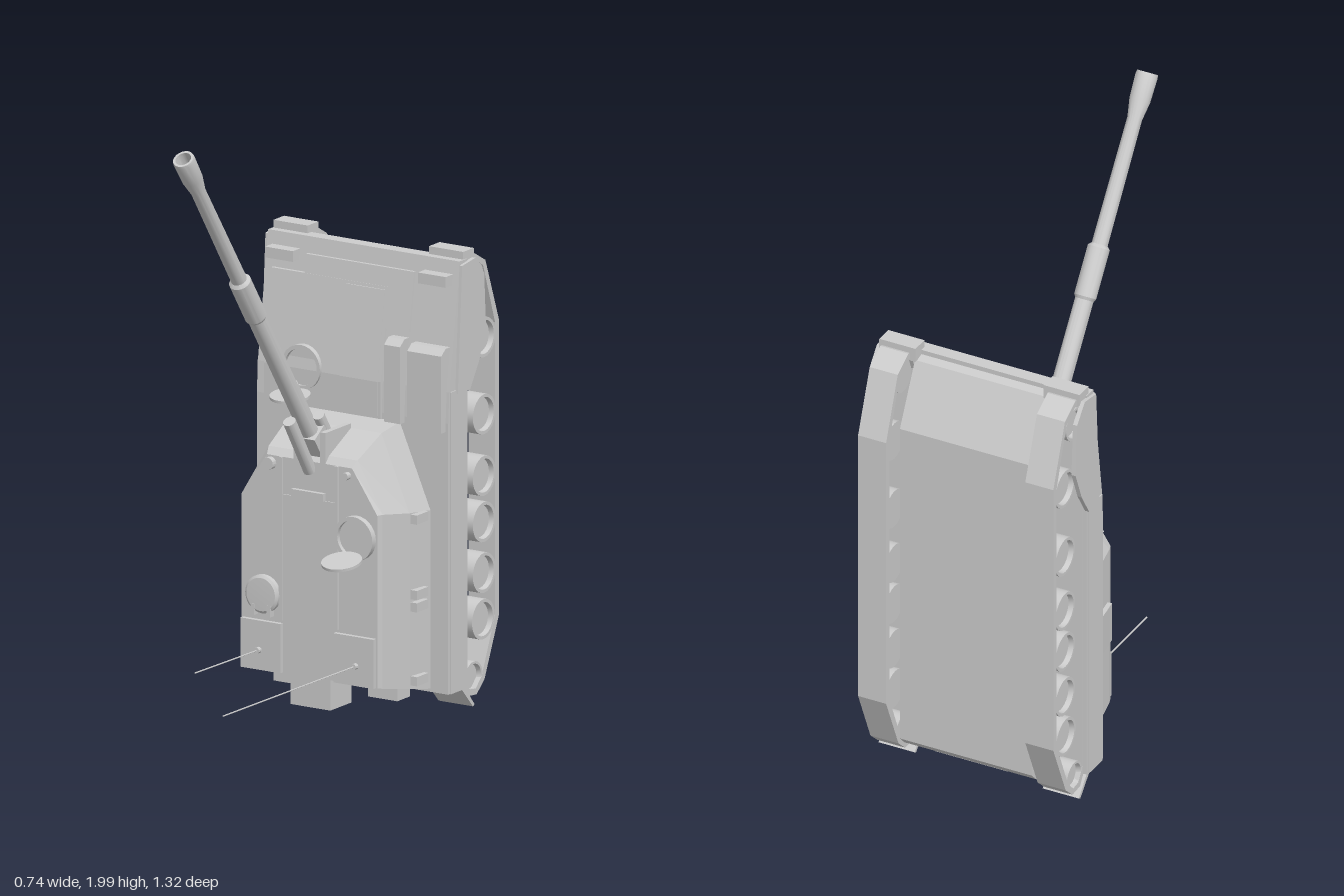
import * as THREE from 'three';
import { toCreasedNormals } from 'three/addons/utils/BufferGeometryUtils.js';

const grey = new THREE.MeshStandardMaterial({ color: 0xcccccc, side: THREE.DoubleSide });
const V = (x, y, z) => new THREE.Vector3(x, y, z);

export function createModel() {
  const model = new THREE.Group();

  const add = (name, geo, parent = model) => {
    const mesh = new THREE.Mesh(geo, grey);
    mesh.name = name;
    parent.add(mesh);
    return mesh;
  };
  // Box given by its limits
  const box = (name, x0, x1, y0, y1, z0, z1) => {
    const m = add(name, new THREE.BoxGeometry(x1 - x0, y1 - y0, z1 - z0));
    m.position.set((x0 + x1) / 2, (y0 + y1) / 2, (z0 + z1) / 2);
    return m;
  };
  // Side profile of [z, y] points extruded across x0..x1
  const profile = (name, pts, x0, x1, hole) => {
    const shape = new THREE.Shape(pts.map(p => new THREE.Vector2(...p)));
    if (hole) shape.holes.push(new THREE.Path(hole.map(p => new THREE.Vector2(...p))));
    const geo = new THREE.ExtrudeGeometry(shape, { depth: x1 - x0, bevelEnabled: false });
    geo.rotateY(-Math.PI / 2).translate(x1, 0, 0);
    return add(name, geo);
  };
  // Turned part: [radius, distance] points along the line from a towards b
  const turned = (name, pts, a, b, sides = 20) => {
    const geo = new THREE.LatheGeometry(pts.map(p => new THREE.Vector2(...p)), sides);
    const m = add(name, toCreasedNormals(geo, 0.5));
    m.position.copy(a);
    m.quaternion.setFromUnitVectors(V(0, 1, 0), b.clone().sub(a).normalize());
    return m;
  };
  const rod = (name, a, b, r, sides = 16) => {
    const l = a.distanceTo(b);
    return turned(name, [[0, 0], [r, 0], [r, l], [0, l]], a, b, sides);
  };
  // Solid through cross-sections of equal point count, each at its own z
  const loft = (name, rings) => {
    const v = [], n = rings[0].length;
    const tri = (...p) => p.forEach(q => v.push(...q));
    for (let k = 0; k + 1 < rings.length; k++) for (let i = 0; i < n; i++) {
      const a = rings[k], b = rings[k + 1], j = (i + 1) % n;
      tri(a[i], a[j], b[j]);
      tri(a[i], b[j], b[i]);
    }
    const low = rings[0], top = rings[rings.length - 1];
    for (let i = 1; i < n - 1; i++) {
      tri(top[0], top[i], top[i + 1]);
      tri(low[0], low[i + 1], low[i]);
    }
    const geo = new THREE.BufferGeometry();
    geo.setAttribute('position', new THREE.Float32BufferAttribute(v, 3));
    geo.computeVertexNormals();
    return add(name, geo);
  };

  // Hull: wide upper body and narrow belly between the tracks
  profile('upperHull', [[-0.36, 0.07], [-0.36, 0.95], [-0.366, 1.05], [-0.424, 1.463],
    [-0.47, 1.463], [-0.47, 0.07]], -0.36, 0.36);
  profile('lowerHull', [[-0.46, 0.07], [-0.46, 1.45], [-0.5, 1.44], [-0.6, 1.24],
    [-0.6, 0.1], [-0.57, 0.07]], -0.235, 0.235);
  box('rearDoor', -0.13, 0.13, 0.062, 0.07, -0.56, -0.4);

  // Raised plates following the sloping deck
  const deck = y => -0.361 - Math.max(0, y - 1.05) * 0.141;
  const plate = (name, x0, x1, y0, y1, h) => {
    const ys = y0 < 1.05 && y1 > 1.05 ? [y0, 1.05, y1] : [y0, y1];
    profile(name, [...ys.map(y => [deck(y) + h, y]), [deck(y1) - 0.01, y1], [deck(y0) - 0.01, y0]], x0, x1);
  };
  plate('enginePlate', -0.33, 0.11, 0.93, 1.35, 0.007);
  plate('frontPlate', -0.205, 0.2, 1.22, 1.41, 0.006);
  plate('accessPanel', -0.045, 0.1, 0.94, 1.34, 0.011);
  const bin = [[-0.38, 0.93], [-0.335, 0.93], [-0.335, 1.18], [-0.36, 1.2], [-0.4, 1.2]];
  profile('smallBin', bin, 0.135, 0.195);
  profile('largeBin', bin.map(([z, y]) => [z, y - 0.008]), 0.222, 0.35);

  // Running gear, mirrored
  const wheels = [[-0.585, 1.18], [-0.585, 0.93], [-0.585, 0.73], [-0.585, 0.58],
    [-0.585, 0.415], [-0.58, 0.265], [-0.525, 0.09, 0.05], [-0.525, 1.385, 0.055]];
  for (const s of [-1, 1]) {
    const span = (a, b) => (s > 0 ? [a, b] : [-b, -a]);
    profile('track',
      [[-0.455, 0.09], [-0.455, 1.4], [-0.48, 1.46], [-0.52, 1.47], [-0.59, 1.43], [-0.667, 1.22],
        [-0.667, 0.26], [-0.585, 0.07], [-0.54, 0.03], [-0.49, 0.035]],
      ...span(0.248, 0.348),
      [[-0.475, 0.1], [-0.475, 1.39], [-0.495, 1.44], [-0.52, 1.45], [-0.577, 1.415], [-0.645, 1.215],
        [-0.645, 0.265], [-0.57, 0.085], [-0.535, 0.05], [-0.5, 0.055]]);
    for (const [z, y, r = 0.065] of wheels) {
      turned('wheel', [[0, 0], [r, 0], [r, 0.085], [r * 0.84, 0.085], [r * 0.8, 0.068], [0, 0.068]],
        V(s * 0.262, y, z), V(s, y, z), 24);
    }
    profile('frontSkirt', [[-0.424, 1.45], [-0.5, 1.46], [-0.55, 1.4], [-0.56, 1.22], [-0.52, 1.12],
      [-0.47, 1.04], [-0.4, 1.04]], ...span(0.355, 0.37));
    profile('sideSkirt', [[-0.37, 0.07], [-0.37, 1.05], [-0.46, 1.05], [-0.46, 0.07]], ...span(0.352, 0.364));
    box('fenderLip', ...span(0.228, 0.357), 1.44, 1.488, -0.51, -0.45);
    profile('mudFlap', [[-0.44, 0.07], [-0.46, 0.07], [-0.515, 0.005], [-0.505, 0]], ...span(0.228, 0.357));
    box('headlight', ...span(0.235, 0.34), 1.385, 1.42, -0.43, -0.376);
  }

  // Turret body, narrowing towards the roof
  const section = (z, w, yRear, yWide, wNose, yNose) => [[-w, yRear, z], [w, yRear, z], [w, yWide, z],
    [wNose, yNose, z], [-wNose, yNose, z], [-w, yWide, z]];
  loft('turret', [section(-0.36, 0.293, 0.08, 0.66, 0.178, 0.93),
    section(-0.26, 0.28, 0.1, 0.67, 0.175, 0.915),
    section(-0.135, 0.262, 0.125, 0.69, 0.167, 0.852),
    section(-0.115, 0.255, 0.13, 0.69, 0.16, 0.83)]);
  rod('turretRing', V(0, 0.5, -0.37), V(0, 0.5, -0.34), 0.28, 32);
  box('roofCentre', -0.1, 0.1, 0.3, 0.71, -0.12, -0.111);
  for (const s of [-1, 1]) {
    const m = box('rearRoofPlate', -0.075, 0.075, 0.13, 0.29, -0.12, -0.1);
    m.position.x = s * 0.175;
    box('roofEdge', s * 0.105 - 0.006, s * 0.105 + 0.006, 0.3, 0.83, -0.12, -0.107);
    rod('roofSight', V(s * 0.145, 0.805, -0.13), V(s * 0.145, 0.805, -0.095), s < 0 ? 0.02 : 0.012);
    box('rearBracket', s * 0.178 - 0.055, s * 0.178 + 0.055, 0.052, 0.11, -0.335, -0.262);
    box('gunCheek', s * 0.05 - 0.01, s * 0.05 + 0.01, 0.74, 0.93, -0.26, -0.115);
  }
  box('rearUnit', -0.075, 0.075, 0.03, 0.14, -0.24, -0.12);
  box('gunSlotFrame', -0.06, 0.06, 0.71, 0.735, -0.12, -0.1);

  // Boxes and racks on the turret sides
  for (const y of [0.65, 0.405, 0.365, 0.125]) box('sideBracket', 0.255, 0.305, y - 0.015, y + 0.015, -0.33, -0.265);
  const rack = box('sideRack', -0.293, -0.272, 0.37, 0.505, -0.33, -0.15);
  rack.rotation.y = 0.15;
  box('sideRackRear', -0.29, -0.265, 0.13, 0.27, -0.33, -0.26);

  // Gun with sleeve, flared hollow muzzle and recoil cylinders
  const breech = V(0, 0.8, -0.2), muzzle = V(0, 1.971, 0.604);
  const L = breech.distanceTo(muzzle);
  turned('gunBarrel', [[0, 0], [0.03, 0], [0.03, L - 0.74], [0.036, L - 0.73], [0.036, L - 0.57], [0.026, L - 0.56],
    [0.024, L - 0.15], [0.034, L - 0.09], [0.036, L - 0.01], [0.034, L], [0.026, L], [0.022, L - 0.08],
    [0, L - 0.08]], breech, muzzle);
  const cradle = box('gunCradle', -0.04, 0.04, 0.76, 0.95, -0.21, -0.13);
  cradle.rotation.x = Math.atan2(0.804, 1.171);
  rod('recoilCylinderTop', V(0, 0.8, -0.117), V(0, 0.985, 0), 0.021);
  rod('recoilCylinderLong', V(-0.026, 0.86, -0.21), V(-0.026, 1.09, -0.055), 0.019);
  rod('recoilCylinderShort', V(0.024, 0.84, -0.225), V(0.024, 0.98, -0.13), 0.019);

  // Open hatches: raised ring and a lid swung up on its lower edge
  const hatch = (name, x, y, z, lidA, lidB) => {
    turned(name + 'Ring', [[0, 0.01], [0.06, 0.01], [0.06, 0.024], [0.072, 0.024], [0.072, 0]],
      V(x, y, z), V(x, y, z + 1), 28);
    rod(name + 'Lid', lidA, lidB, 0.065, 28);
  };
  hatch('driverHatch', -0.185, 1.058, -0.369, V(-0.185, 0.974, -0.285), V(-0.185, 0.983, -0.284));
  hatch('roofHatch', 0.178, 0.608, -0.118, V(0.178, 0.544, -0.03), V(0.178, 0.553, -0.028));
  turned('cupola', [[0.062, 0], [0.062, 0.016], [0.054, 0.022], [0, 0.024]],
    V(-0.17, 0.377, -0.116), V(-0.17, 0.377, 0), 28);
  for (const s of [-1, 1]) box('cupolaHinge', -0.177 + s * 0.03, -0.163 + s * 0.03, 0.308, 0.345, -0.12, -0.092);

  // Whip aerials
  for (const [x, tip] of [[-0.18, 0.265], [0.184, 0.655]]) {
    rod('aerialBase', V(x, 0.195, -0.115), V(x, 0.195, -0.085), 0.01, 10);
    rod('aerial', V(x, 0.195, -0.09), V(x, 0.2, tip), 0.0025, 6);
  }
  return model;
}
